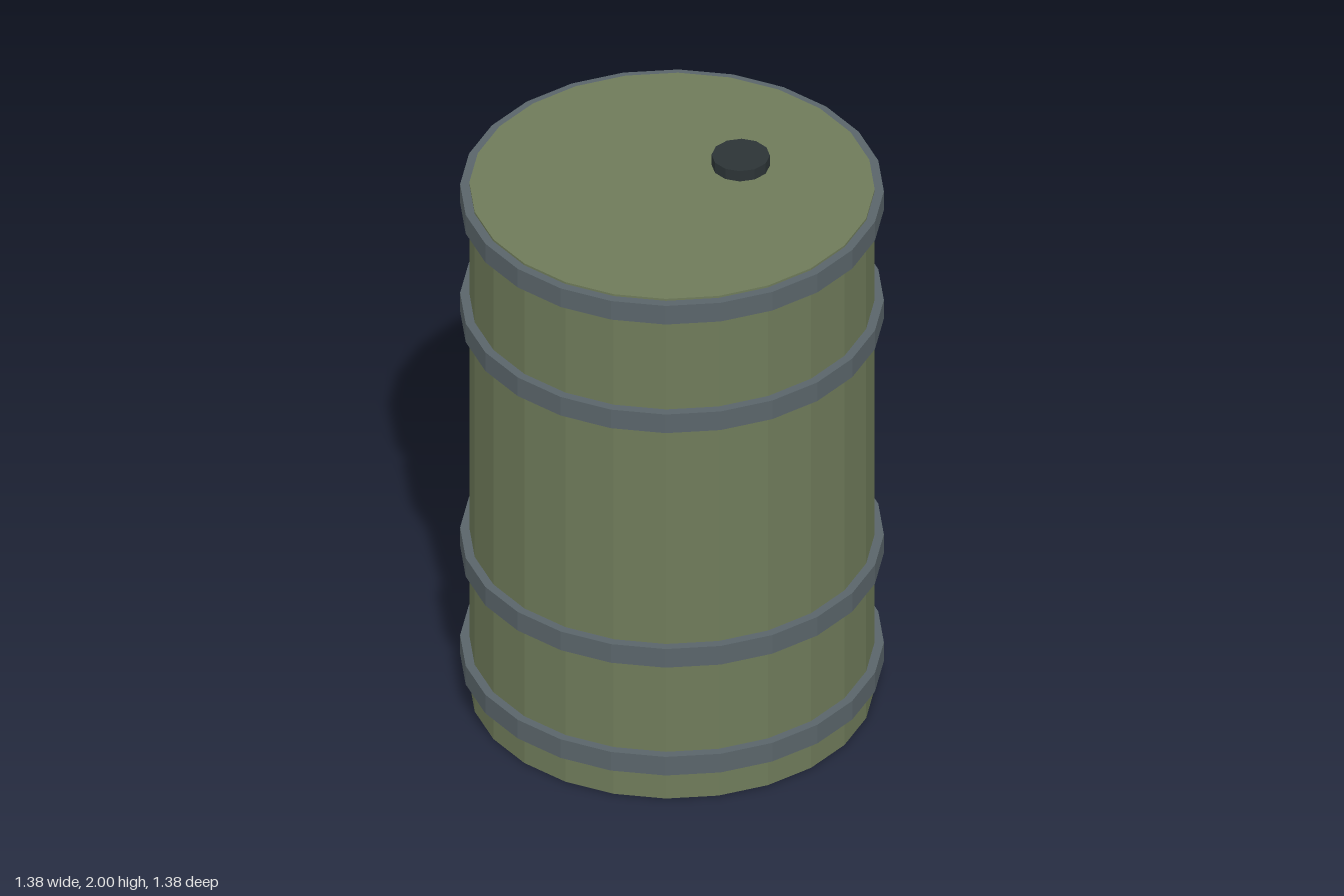
import * as THREE from 'three';

export function createModel() {
  const model = new THREE.Group();
  model.name = 'barrel';

  const paint = (name, color) => {
    const m = new THREE.MeshStandardMaterial({ color, flatShading: true });
    m.name = name;
    return m;
  };
  const olive = paint('olive drum', 0x6f7b5a);
  const steel = paint('grey steel', 0x5a656a);
  const dark = paint('dark cap', 0x2c3436);

  // Upright cylinder spanning bottom..top
  const drum = (name, radius, bottom, top, sides, material, x = 0) => {
    const mesh = new THREE.Mesh(
      new THREE.CylinderGeometry(radius, radius, top - bottom, sides), material);
    mesh.name = name;
    mesh.position.set(x, (bottom + top) / 2, 0);
    model.add(mesh);
  };

  // Body with flat lid and base
  drum('body', 0.66, 0, 1.96, 24, olive);

  // Four raised hoops around the body
  [0.147, 0.57, 1.49, 1.916].forEach((y, i) =>
    drum(`hoop${i + 1}`, 0.69, y - 0.0365, y + 0.0365, 24, steel));

  // Filler cap on the lid
  drum('fillerCap', 0.095, 1.94, 2, 12, dark, 0.254);

  return model;
}
